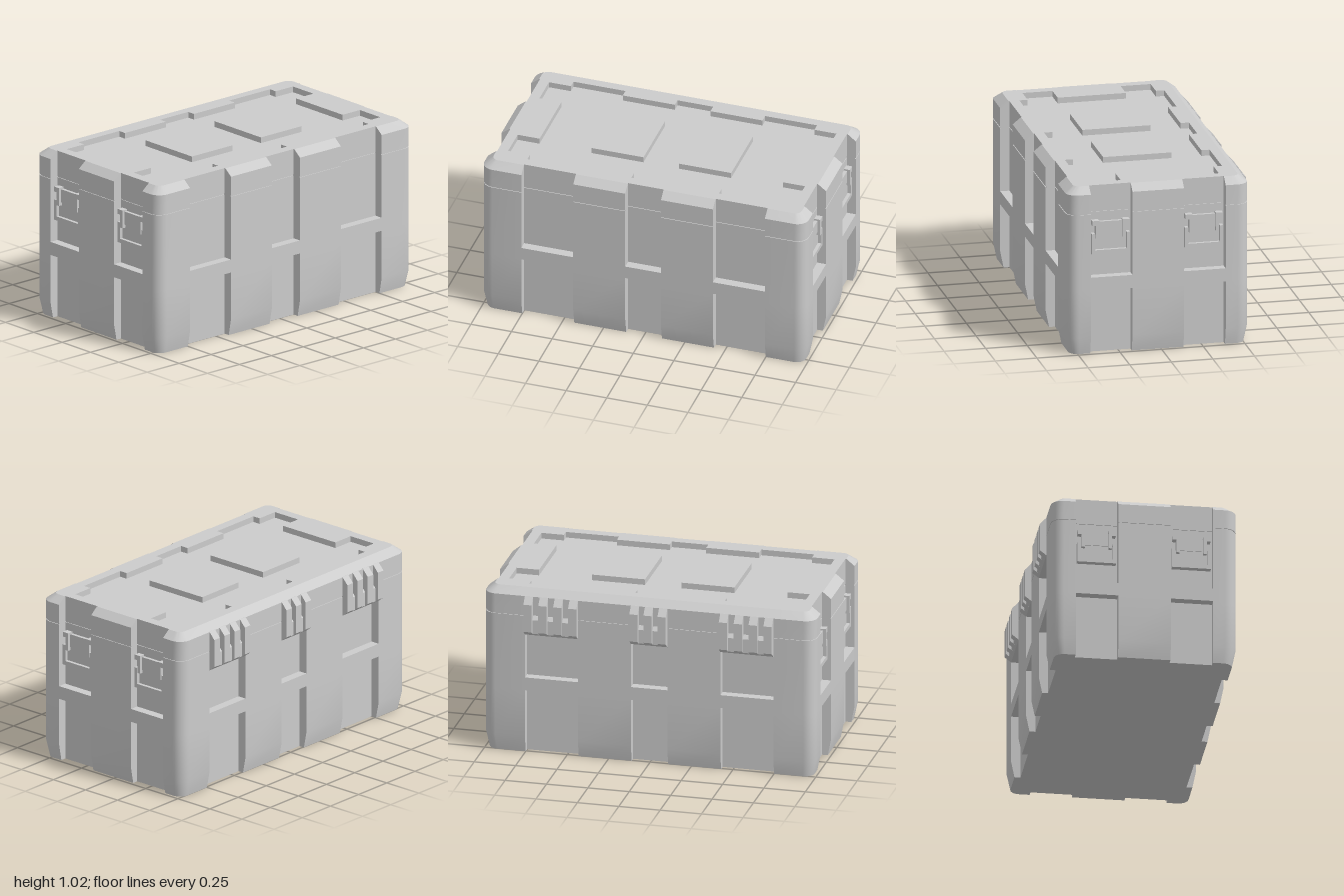
import * as THREE from 'three';
import { toCreasedNormals } from 'three/addons/utils/BufferGeometryUtils.js';

const material = new THREE.MeshStandardMaterial({ color: 0xcccccc });
const FRONT = 0.565, BACK = -0.527, TOP = 1.02, FLOOR = 0.985, DEPTH = 0.055;

function add(parent, name, geometry) {
  const mesh = new THREE.Mesh(geometry, material);
  mesh.name = name;
  parent.add(mesh);
  return mesh;
}

// Box given by its extents
function box(parent, name, x0, x1, y0, y1, z0, z1) {
  const mesh = add(parent, name, new THREE.BoxGeometry(Math.abs(x1 - x0), y1 - y0, z1 - z0));
  mesh.position.set((x0 + x1) / 2, (y0 + y1) / 2, (z0 + z1) / 2);
}

// Plan outline: rounded rectangle whose four sides carry notches
const longNotches = [[-0.75, -0.43], [-0.11, 0.11], [0.43, 0.75]];
const sideNotches = [[-0.385, -0.135], [0.175, 0.425]];
const flipped = (list) => list.map(([a, b]) => [-b, -a]).reverse();

function outline(inset, depth, backDepth) {
  const r = 0.07 - inset * 0.6;
  const sides = [
    { notches: longNotches, d: depth, at: (t, p) => [t, FRONT - p], corner: [1 - inset - r, FRONT - inset - r] },
    { notches: flipped(sideNotches), d: depth, at: (t, p) => [1 - p, -t], corner: [1 - inset - r, BACK + inset + r] },
    { notches: longNotches, d: backDepth, at: (t, p) => [-t, BACK + p], corner: [-1 + inset + r, BACK + inset + r] },
    { notches: sideNotches, d: depth, at: (t, p) => [-1 + p, t], corner: [-1 + inset + r, FRONT - inset - r] },
  ];
  const points = [];
  sides.forEach(({ notches, d, at, corner }, k) => {
    const p = Math.max(inset, d);
    for (const [a, b] of notches) points.push(at(a, inset), at(a, p), at(b, p), at(b, inset));
    for (let i = 0; i <= 8; i++) {
      const angle = (k + i / 8) * Math.PI / 2;
      points.push([corner[0] + r * Math.sin(angle), corner[1] + r * Math.cos(angle)]);
    }
  });
  return points;
}

// Skin through a stack of outlines, skipping empty triangles
function loft(rings) {
  const position = [];
  const tri = (a, b, c) => {
    const area = b.clone().sub(a).cross(c.clone().sub(a)).length();
    if (area > 1e-9) for (const v of [a, b, c]) position.push(v.x, v.y, v.z);
  };
  for (let k = 0; k < rings.length - 1; k++) {
    const n = rings[k].points.length;
    const at = (ring, i) => new THREE.Vector3(ring.points[i % n][0], ring.y, ring.points[i % n][1]);
    for (let i = 0; i < n; i++) {
      const a = at(rings[k], i), b = at(rings[k], i + 1);
      const c = at(rings[k + 1], i + 1), d = at(rings[k + 1], i);
      tri(a, b, c);
      tri(a, c, d);
    }
  }
  const geometry = new THREE.BufferGeometry();
  geometry.setAttribute('position', new THREE.Float32BufferAttribute(position, 3));
  return toCreasedNormals(geometry, 0.6);
}

// Flat horizontal face, facing up or down
function cap(points, y, up, hole) {
  const toVectors = (list) => list.map(([x, z]) => new THREE.Vector2(x, up ? -z : z));
  const shape = new THREE.Shape(toVectors(points));
  if (hole) shape.holes.push(new THREE.Path(toVectors(hole)));
  return new THREE.ShapeGeometry(shape).rotateX(up ? -Math.PI / 2 : Math.PI / 2).translate(0, y, 0);
}

// Side profile of [distance behind centre, height], extruded along x
function profileX(profile, width) {
  const shape = new THREE.Shape(profile.map(([s, y]) => new THREE.Vector2(s, y)));
  return new THREE.ExtrudeGeometry(shape, { depth: width, bevelEnabled: false })
    .translate(0, 0, -width / 2).rotateY(Math.PI / 2);
}

function makeHinge(x0, x1, count) {
  const hinge = new THREE.Group();
  hinge.name = 'hinge';
  const fin = profileX([[0.46, 0.74], [0.527, 0.74], [0.565, 0.77], [0.565, 0.94], [0.527, 0.982], [0.46, 0.982]], 0.05);
  const band = profileX([[0.46, 0.74], [0.527, 0.74], [0.545, 0.755], [0.545, 0.84], [0.527, 0.86], [0.46, 0.86]], x1 - x0 - 0.01);
  add(hinge, 'hingeBand', band).position.x = (x0 + x1) / 2;
  for (let i = 0; i < count; i++) {
    add(hinge, 'hingeFin', fin).position.x = x0 + 0.025 + i * (x1 - x0 - 0.05) / (count - 1);
  }
  return hinge;
}

function makeLatch(side, z) {
  const latch = new THREE.Group();
  latch.name = 'latch';
  const part = (name, out, y0, y1, z0, z1) => box(latch, name, side * 0.94, side * out, y0, y1, z + z0, z + z1);
  part('latchPlate', 0.965, 0.72, 0.8, -0.07, 0.07);
  part('trayPlate', 0.96, 0.625, 0.72, -0.095, 0.095);
  part('trayBottom', 0.98, 0.605, 0.63, -0.115, 0.115);
  for (const s of [-1, 1]) {
    const pair = (name, out, y0, y1, a, b) => part(name, out, y0, y1, Math.min(s * a, s * b), Math.max(s * a, s * b));
    pair('latchArm', 0.982, 0.7, 0.81, 0.07, 0.09);
    pair('latchEar', 0.982, 0.78, 0.81, 0.09, 0.112);
    pair('traySide', 0.98, 0.63, 0.73, 0.095, 0.115);
  }
  return latch;
}

export function createModel() {
  const model = new THREE.Group();
  model.name = 'case';
  const D = DEPTH, G = 0.005;
  const ring = (y, inset, depth, backDepth) => ({ y, points: outline(inset, depth, backDepth) });

  // Lower shell with tapered foot, notches and the belt rib
  const lower = [
    ring(0, 0.02, D, D), ring(0.1, 0, D, D), ring(0.39, 0, D, D), ring(0.39, 0, 0, 0),
    ring(0.47, 0, 0, 0), ring(0.47, 0, D, D), ring(0.857, 0, D, D), ring(0.857, G, D + G, D + G),
    ring(0.86, G, D + G, D + G),
  ];
  add(model, 'lowerShell', loft(lower));
  add(model, 'underside', cap(lower[0].points, 0, false));

  // Lid with chamfered rim, above the seam groove
  const lid = [
    ring(0.86, G, D + G, D + G), ring(0.863, G, D + G, D + G), ring(0.863, 0, D, 0),
    ring(0.98, 0, D, 0), ring(TOP, 0.05, D, 0),
  ];
  add(model, 'lid', loft(lid));

  // Sunken lid panel with pockets at the corners
  const half = [
    [0.11, 0.45], [0.11, 0.4], [0.43, 0.4], [0.43, 0.45], [0.75, 0.45], [0.75, 0.4],
    [0.885, 0.4], [0.885, 0.22], [0.75, 0.22], [0.75, -0.19], [0.885, -0.19], [0.885, -0.37],
    [0.75, -0.37], [0.75, -0.42], [0.43, -0.42], [0.43, -0.37], [0.11, -0.37], [0.11, -0.42],
  ];
  const panel = [...half, ...half.map(([x, z]) => [-x, z]).reverse()];
  add(model, 'lidRim', cap(lid[lid.length - 1].points, TOP, true, panel));
  add(model, 'panelWalls', loft([{ y: TOP, points: panel }, { y: FLOOR, points: panel }]));
  add(model, 'panelFloor', cap(panel, FLOOR, true));

  // Raised pads on the lid, and latches in the end notches
  for (const s of [-1, 1]) {
    box(model, 'lidPad', s * 0.11, s * 0.43, FLOOR - 0.01, TOP, -0.19, 0.22);
    for (const [a, b] of sideNotches) model.add(makeLatch(s, (a + b) / 2));
  }

  // Hinges along the back
  longNotches.forEach(([a, b], i) => model.add(makeHinge(a, b, i === 1 ? 3 : 4)));

  // Centre the depth, hinges included
  model.position.z = 0;
  return model;
}
